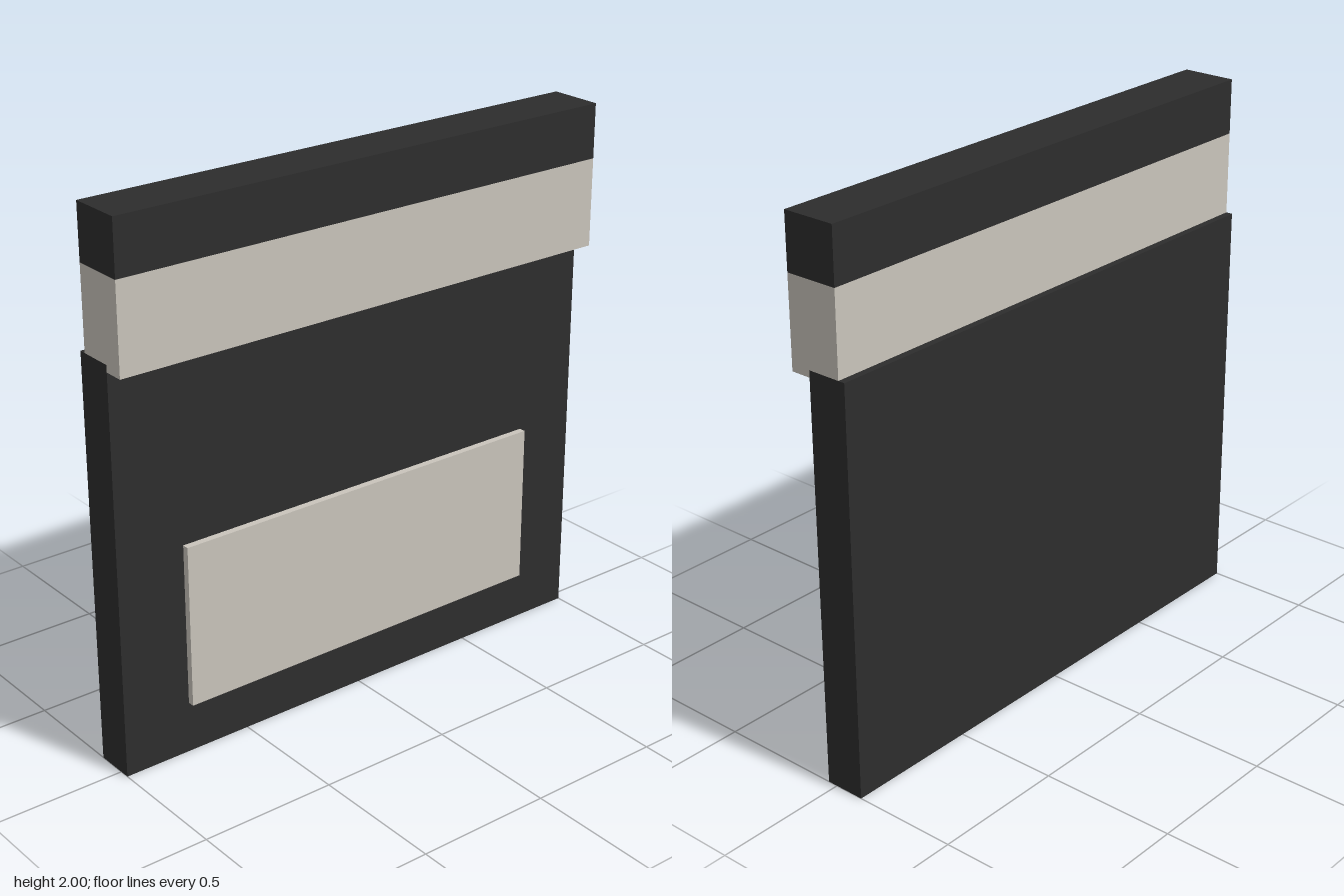
import * as THREE from 'three';

export function createModel() {
  const model = new THREE.Group();
  const dark = new THREE.MeshStandardMaterial({ color: 0x2d2d2d });
  dark.name = 'charcoal';
  const light = new THREE.MeshStandardMaterial({ color: 0xc9c4bb });
  light.name = 'warmGrey';

  const add = (name, geometry, material) => {
    const mesh = new THREE.Mesh(geometry, material);
    mesh.name = name;
    model.add(mesh);
  };
  // Box centred on x, given by its y and z limits
  const slab = (width, y0, y1, z0, z1) =>
    new THREE.BoxGeometry(width, y1 - y0, z1 - z0).translate(0, (y0 + y1) / 2, (z0 + z1) / 2);

  // Main panel and the cap along the top
  add('panel', slab(2, 0, 1.5, -0.1125, 0.0375), dark);
  add('topCap', slab(2, 1.8, 2, -0.0875, 0.1125), dark);

  // Band under the cap, notched to sit over the panel's upper edge
  const profile = new THREE.Shape([
    [0.0375, 1.475], [0.1125, 1.475], [0.1125, 1.8],
    [-0.0875, 1.8], [-0.0875, 1.5], [0.0375, 1.5],
  ].map(([z, y]) => new THREE.Vector2(z, y)));
  const band = new THREE.ExtrudeGeometry(profile, { depth: 2, bevelEnabled: false });
  add('band', band.translate(0, 0, -1).rotateY(-Math.PI / 2), light);

  // Raised plate standing just off the front
  add('frontPlate', slab(1.5, 0.2, 0.8, 0.05, 0.075), light);

  return model;
}
